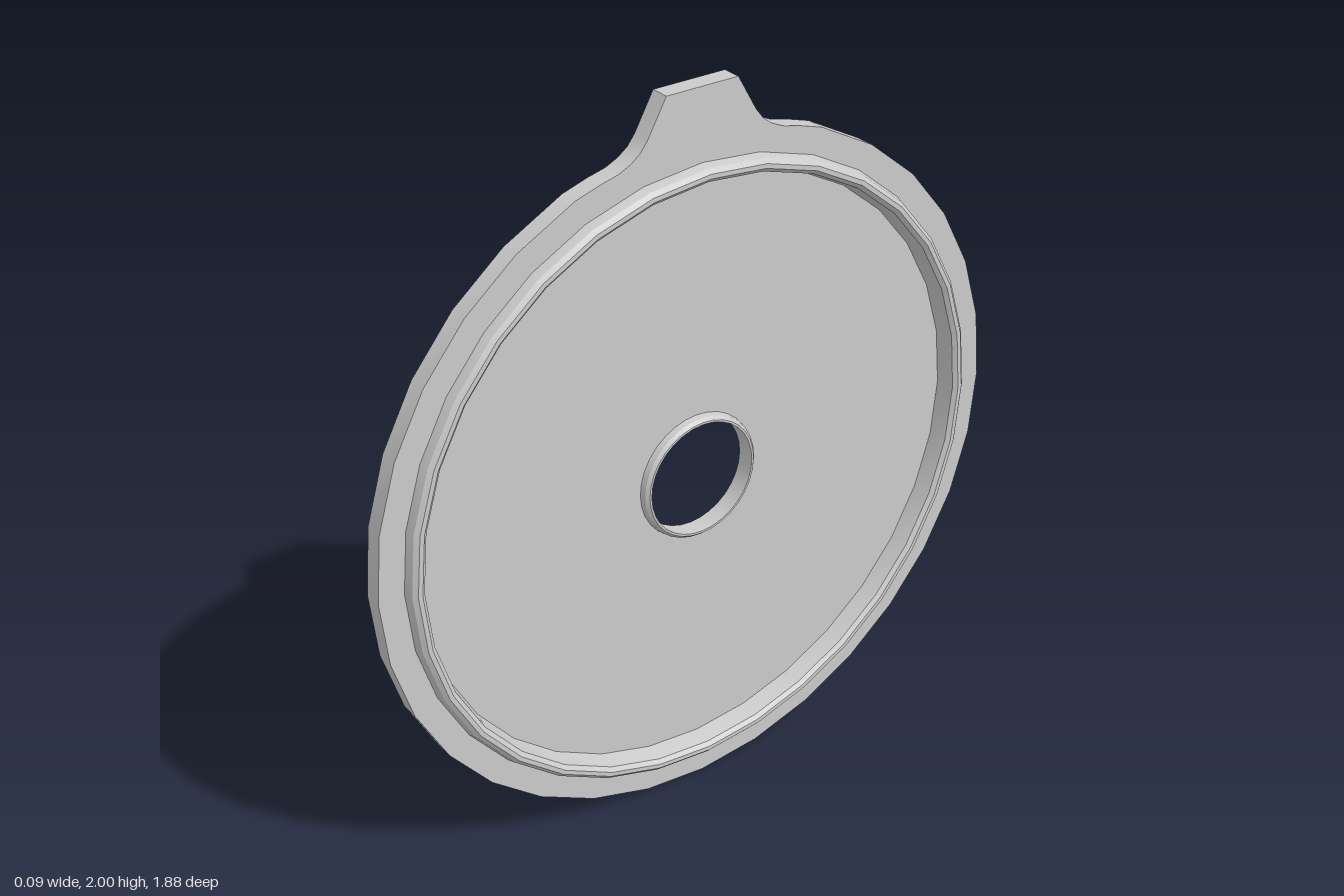
import * as THREE from 'three';
import { toCreasedNormals } from 'three/addons/utils/BufferGeometryUtils.js';

const SEGMENTS = 32;
const CENTRE_Y = 0.94, PLATE_R = 0.94, RIM_R = 0.87, HOLE_R = 0.158;
const BACK = -0.043, FACE = 0.009, FLOOR = -0.017, TOP = 0.043;

// Points on a circle, from step i0 to i1 of a 32-sided polygon, measured from straight up
function arc(radius, i0, i1) {
  const points = [];
  for (let i = i0; i <= i1; i++) {
    const a = (i / SEGMENTS) * Math.PI * 2;
    points.push(new THREE.Vector2(Math.sin(a) * radius, Math.cos(a) * radius));
  }
  return points;
}

export function createModel() {
  const group = new THREE.Group();
  group.name = 'tabbedDisc';
  const material = new THREE.MeshStandardMaterial({ color: 0xcccccc });

  function add(name, geometry) {
    const mesh = new THREE.Mesh(toCreasedNormals(geometry, 0.5), material);
    mesh.name = name;
    mesh.position.y = CENTRE_Y;
    group.add(mesh);
  }

  // Outer plate: round outline flowing into the flared tab at the top
  const flare = [[0.29, 0.89], [0.24, 0.902], [0.205, 0.918], [0.178, 0.938], [0.157, 0.965], [0.103, 1.06]];
  const outline = [
    ...arc(PLATE_R, 2, SEGMENTS - 2),
    ...flare.map(([x, y]) => new THREE.Vector2(-x, y)),
    ...flare.slice().reverse().map(([x, y]) => new THREE.Vector2(x, y)),
  ];
  const shape = new THREE.Shape(outline);
  shape.holes.push(new THREE.Path(arc(RIM_R, 0, SEGMENTS - 1)));
  const plate = new THREE.ExtrudeGeometry(shape, { depth: FACE - BACK, bevelEnabled: false });
  plate.translate(0, 0, BACK).rotateY(Math.PI / 2);
  add('plateWithTab', plate);

  // Turned core: centre hole, back face, raised rim, recessed floor and hole collar
  const profile = [
    [HOLE_R, FACE], [HOLE_R, BACK], [RIM_R, BACK], [RIM_R, FACE],
    [0.863, 0.033], [0.852, TOP], [0.84, TOP], [0.829, 0.033], [0.819, FLOOR],
    [0.175, FLOOR], [0.172, 0], [0.164, FACE], [HOLE_R, FACE],
  ].map(([r, x]) => new THREE.Vector2(r, x));
  const core = new THREE.LatheGeometry(profile, SEGMENTS);
  core.rotateZ(-Math.PI / 2);
  add('rimmedCore', core);

  return group;
}
